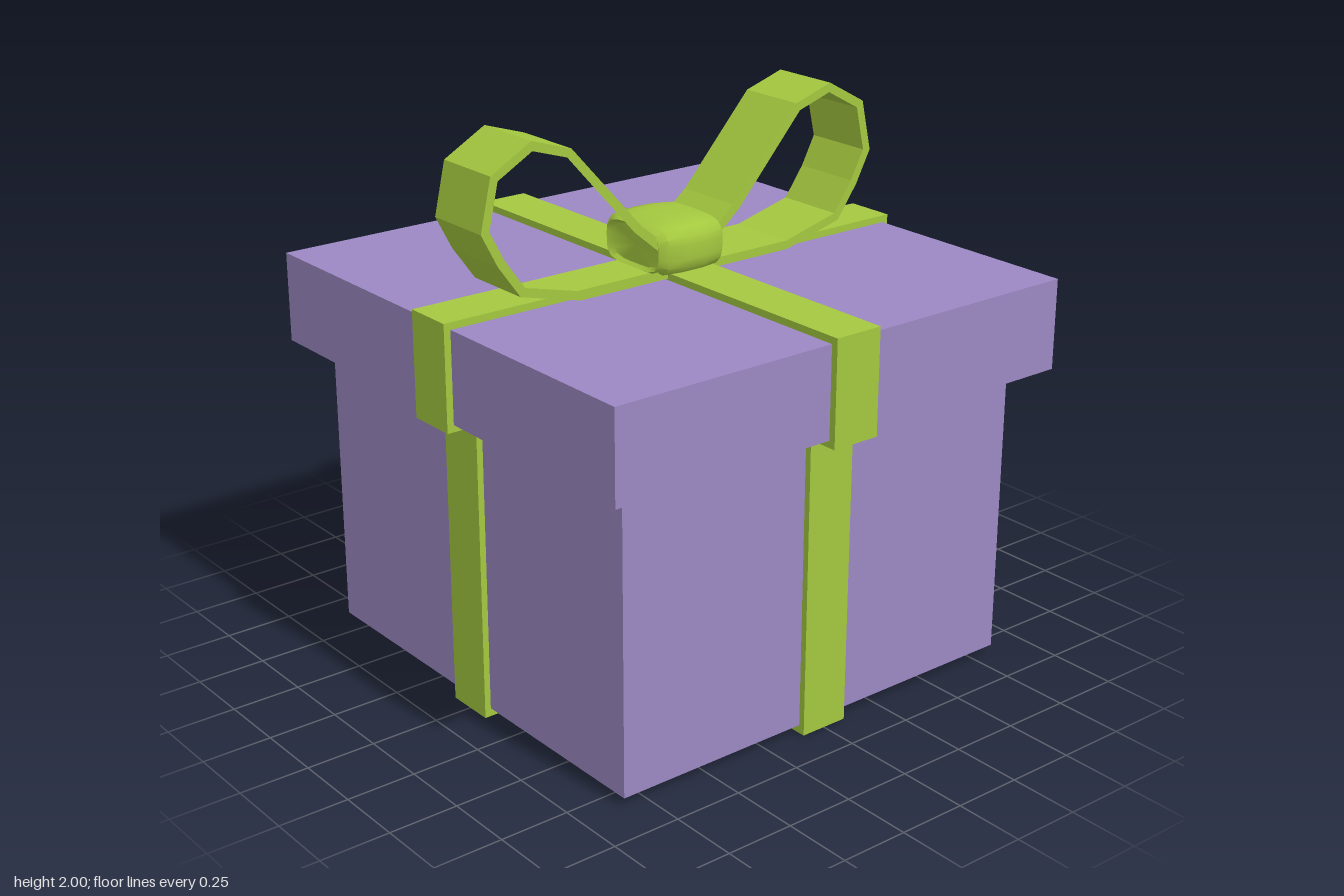
import * as THREE from 'three';
import { mergeVertices, toCreasedNormals } from 'three/addons/utils/BufferGeometryUtils.js';

const material = (name, color) => {
  const m = new THREE.MeshStandardMaterial({ color });
  m.name = name;
  return m;
};

// Shrinks a counter-clockwise outline by a constant ribbon thickness.
function inset(points, t) {
  const n = points.length;
  return points.map((p, i) => {
    const a = p.clone().sub(points[(i + n - 1) % n]).normalize();
    const b = points[(i + 1) % n].clone().sub(p).normalize();
    const na = new THREE.Vector2(-a.y, a.x), nb = new THREE.Vector2(-b.y, b.x);
    const miter = na.clone().add(nb).divideScalar(Math.max(0.35, 1 + na.dot(nb)));
    return p.clone().addScaledVector(miter, t);
  });
}

// One bow loop: a faceted ribbon outline with a hole, side = +1 or -1.
function loopGeometry(side) {
  const outer = [
    [0, 1.43], [0.452, 1.43], [0.692, 1.492], [0.777, 1.61], [0.838, 1.727],
    [0.796, 1.91], [0.637, 1.998], [0.481, 1.948], [0.2, 1.638], [0, 1.475],
  ].map(([x, y]) => new THREE.Vector2(x, y));
  // The hole stops inside the knot, where the strands meet.
  const inner = inset(outer, 0.031);
  inner.splice(9, 1);
  inner[0].set(0.06, 1.461);
  inner[8].set(0.06, 1.478);
  inner.splice(8, 0, new THREE.Vector2(0.228, 1.62));
  const flip = (list) => list.map((p) => new THREE.Vector2(p.x * side, p.y));
  const shape = new THREE.Shape(flip(outer));
  shape.holes.push(new THREE.Path(flip(inner)));
  const g = new THREE.ExtrudeGeometry(shape, { depth: 0.26, bevelEnabled: false });
  return g.translate(0, 0, -0.13);
}

// Barrel with a rounded-square section, lying along x.
function knotGeometry() {
  const profile = [[0, -0.125], [0.68, -0.125], [0.8, -0.14], [0.94, -0.115], [1, -0.045],
    [1, 0.045], [0.94, 0.115], [0.8, 0.14], [0.68, 0.125], [0, 0.125]];
  let g = new THREE.LatheGeometry(profile.map(([r, y]) => new THREE.Vector2(r, y)), 24);
  g.rotateZ(-Math.PI / 2);
  const p = g.attributes.position;
  for (let i = 0; i < p.count; i++) {
    const y = p.getY(i), z = p.getZ(i), r = Math.hypot(y, z);
    if (r < 1e-6) continue;
    const k = r / Math.pow((y / r) ** 4 + (z / r) ** 4, 0.25);
    p.setXYZ(i, p.getX(i), (y / r) * k * 0.095, (z / r) * k * 0.178);
  }
  g.deleteAttribute('uv');
  g.deleteAttribute('normal');
  g = mergeVertices(g, 1e-5);
  return toCreasedNormals(g, 0.75);
}

export function createModel() {
  const model = new THREE.Group();
  model.name = 'giftBox';
  const paper = material('purple paper', 0x9c88c3);
  const ribbon = material('green ribbon', 0xa4c83f);

  const add = (name, geometry, mat, parent = model) => {
    const mesh = new THREE.Mesh(geometry, mat);
    mesh.name = name;
    parent.add(mesh);
    return mesh;
  };
  const box = (name, mat, w, y0, y1, d) =>
    add(name, new THREE.BoxGeometry(w, y1 - y0, d), mat).position.set(0, (y0 + y1) / 2, 0);

  // Box and overhanging lid
  box('boxBody', paper, 1.674, 0.03, 1.1, 1.674);
  box('lid', paper, 1.89, 1.1, 1.425, 1.89);

  // Crossed ribbon bands around the body and the lid
  const width = 0.184;
  box('bodyRibbonAcross', ribbon, 1.72, 0, 1.09, width);
  box('bodyRibbonFrontBack', ribbon, width, 0, 1.09, 1.72);
  box('lidRibbonAcross', ribbon, 1.94, 1.075, 1.45, width);
  box('lidRibbonFrontBack', ribbon, width, 1.075, 1.45, 1.94);

  // Bow: two loops and the knot
  const bow = new THREE.Group();
  bow.name = 'bow';
  bow.position.x = -0.006;
  model.add(bow);
  for (const side of [1, -1]) {
    add(side > 0 ? 'leftLoop' : 'rightLoop', loopGeometry(side), ribbon, bow);
  }
  add('knot', knotGeometry(), ribbon, bow).position.set(0.003, 1.525, 0);

  return model;
}
